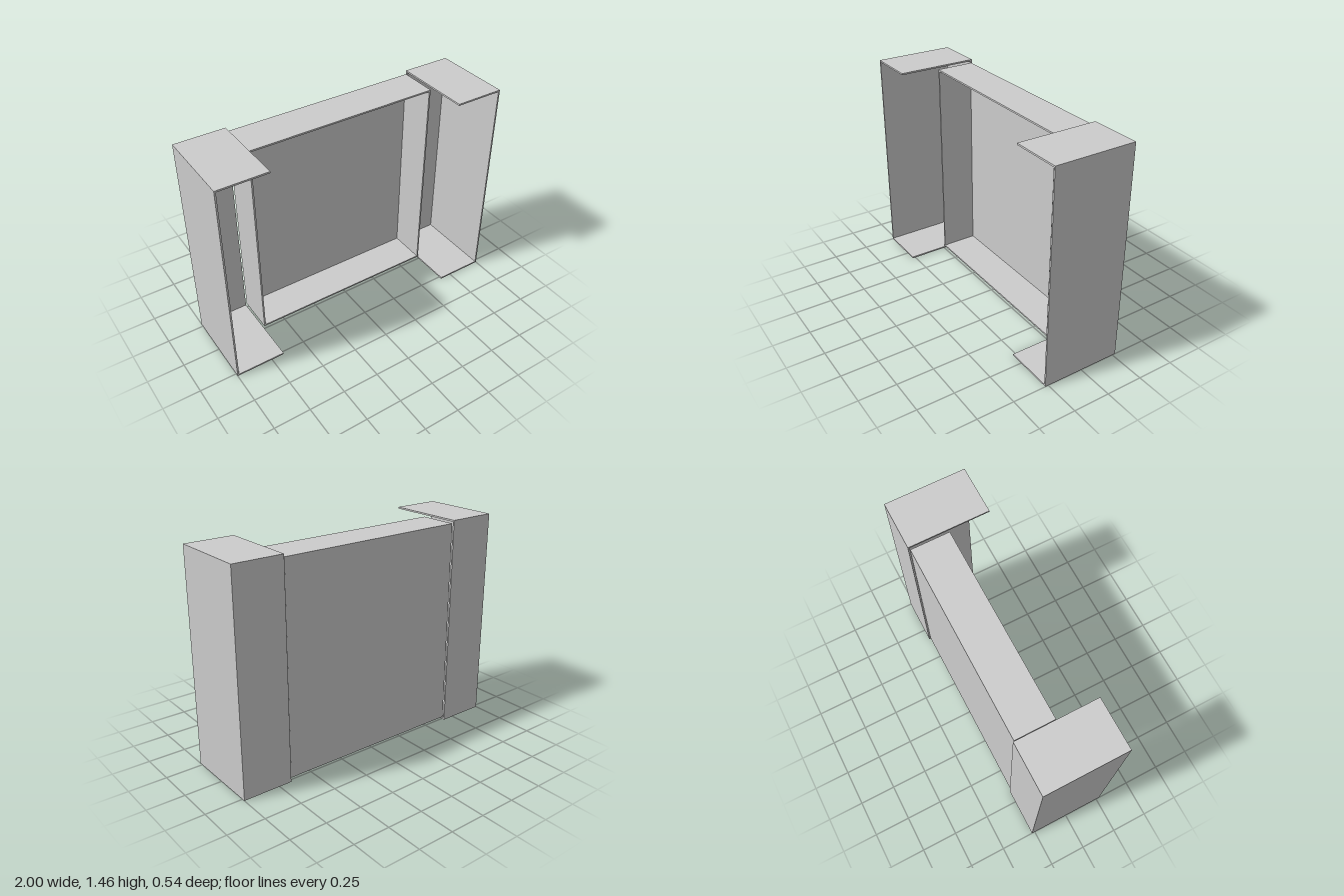
import * as THREE from 'three';

const grey = new THREE.MeshStandardMaterial({ color: 0xcccccc });
grey.name = 'light grey';

// Box panel given by its minimum and maximum corners
function panel(name, [x0, y0, z0], [x1, y1, z1]) {
  const mesh = new THREE.Mesh(new THREE.BoxGeometry(x1 - x0, y1 - y0, z1 - z0), grey);
  mesh.name = name;
  mesh.position.set((x0 + x1) / 2, (y0 + y1) / 2, (z0 + z1) / 2);
  return mesh;
}

// Side cabinet, open at the front and towards the middle
function sideCabinet(name, s) {
  const H = 1.455, D = 0.272, T = 0.011, inner = 0.664;
  const part = (label, x0, x1, y0, y1, z0, z1) =>
    panel(label, [Math.min(s * x0, s * x1), y0, z0], [Math.max(s * x0, s * x1), y1, z1]);
  const g = new THREE.Group();
  g.name = name;
  g.add(
    part('outerWall', 1 - T, 1, T, H - T, -D, D),
    part('topPanel', inner, 1, H - T, H, -D, D),
    part('bottomPanel', inner, 1, 0, T, -D, D),
    part('backPanel', inner, 1 - T, T, H - T, -D, -D + T)
  );
  return g;
}

// Shallow middle cabinet, open at the front
function middleCabinet() {
  const X = 0.657, y0 = 0.022, y1 = 1.434, z0 = -0.262, z1 = 0, T = 0.011;
  const g = new THREE.Group();
  g.name = 'middleCabinet';
  g.add(
    panel('topPanel', [-X, y1 - T, z0], [X, y1, z1]),
    panel('bottomPanel', [-X, y0, z0], [X, y0 + T, z1]),
    panel('leftWall', [X - T, y0 + T, z0], [X, y1 - T, z1]),
    panel('rightWall', [-X, y0 + T, z0], [-X + T, y1 - T, z1]),
    panel('backPanel', [-X + T, y0 + T, z0], [X - T, y1 - T, z0 + T])
  );
  return g;
}

export function createModel() {
  const model = new THREE.Group();
  model.name = 'cabinet';
  model.add(sideCabinet('leftCabinet', 1), sideCabinet('rightCabinet', -1), middleCabinet());
  return model;
}
